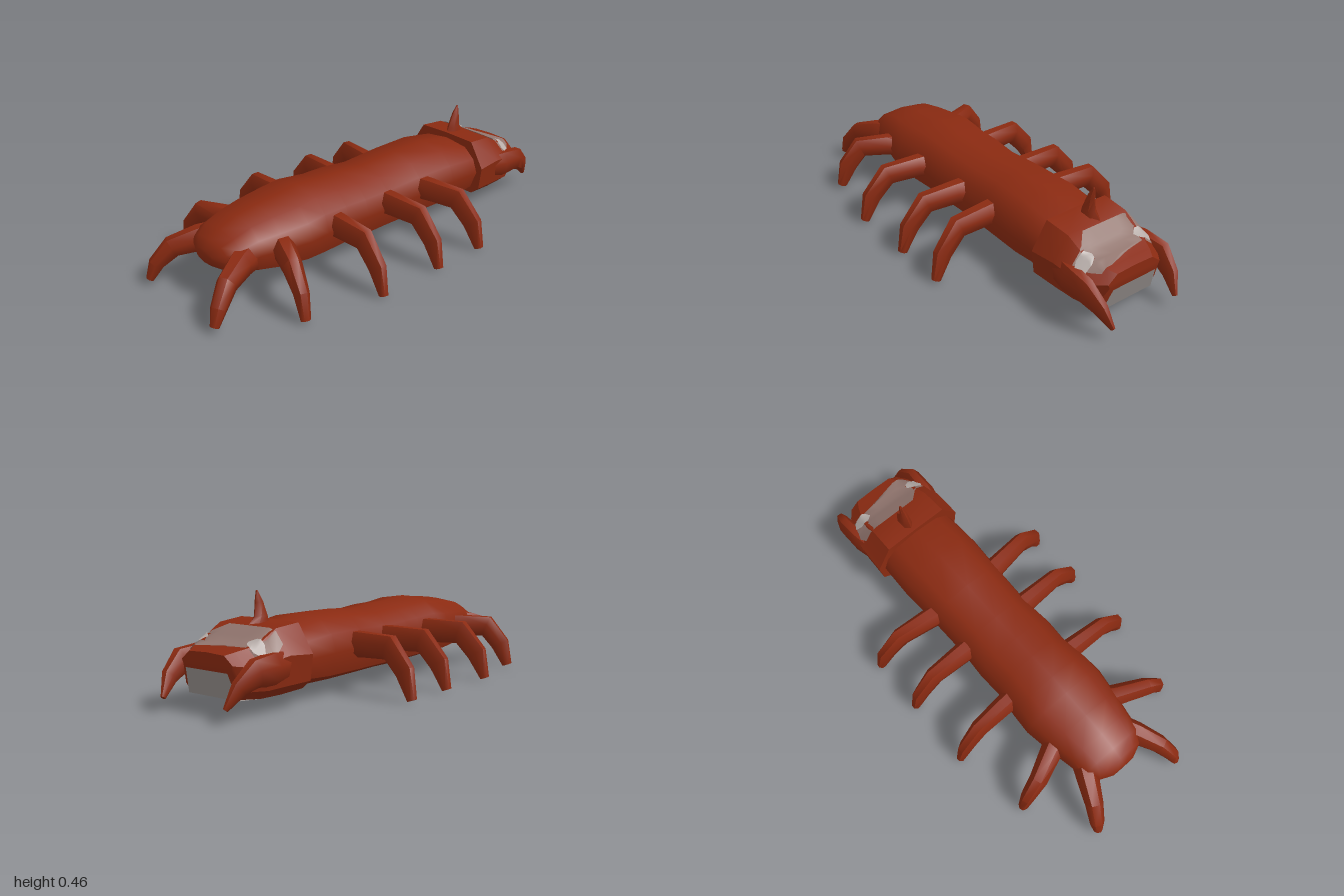
import * as THREE from 'three';
import { toCreasedNormals } from 'three/addons/utils/BufferGeometryUtils.js';

const mat = (name, color, side = THREE.FrontSide) => {
  const m = new THREE.MeshStandardMaterial({ color, side });
  m.name = name;
  return m;
};

// Skin a list of equal-length rings and cap both ends
function loft(rings, crease = 0.7) {
  const n = rings[0].length, pos = [], idx = [];
  rings.forEach(r => r.forEach(p => pos.push(p[0], p[1], p[2])));
  for (let k = 0; k < rings.length - 1; k++) {
    for (let i = 0; i < n; i++) {
      const a = k * n + i, b = k * n + (i + 1) % n;
      idx.push(a, b, b + n, a, b + n, a + n);
    }
  }
  const last = (rings.length - 1) * n;
  for (let i = 1; i < n - 1; i++) idx.push(0, i + 1, i, last, last + i, last + i + 1);
  const g = new THREE.BufferGeometry();
  g.setAttribute('position', new THREE.Float32BufferAttribute(pos, 3));
  g.setIndex(idx);
  return toCreasedNormals(g, crease);
}

// Tapering limb through [x, y, z, half width, half height]; side is its width axis
function limb(points, side, sides = 7) {
  const c = points.map(p => new THREE.Vector3(p[0], p[1], p[2]));
  const rings = points.map((p, k) => {
    const t = c[Math.min(k + 1, c.length - 1)].clone().sub(c[Math.max(k - 1, 0)]).normalize();
    const v = t.clone().cross(side).normalize();
    const u = v.clone().cross(t).normalize();
    return Array.from({ length: sides }, (_, i) => {
      const a = (i / sides) * Math.PI * 2 + Math.PI / 2;
      return c[k].clone().addScaledVector(u, Math.cos(a) * p[3])
        .addScaledVector(v, Math.sin(a) * p[4]).toArray();
    });
  });
  return loft(rings, 0.95);
}

// Side axis at right angles to the limb's horizontal direction
function sideOf(points) {
  const a = points[0], b = points[points.length - 1];
  return new THREE.Vector3(-(b[2] - a[2]), 0, b[0] - a[0]).normalize();
}

// Head sections: z, half width, top, shoulder drop, bottom
const HEAD = [
  [-0.92, 0.14, 0.245, 0.035, 0.185],
  [-0.885, 0.17, 0.255, 0.05, 0.075],
  [-0.8, 0.22, 0.275, 0.06, 0.07],
  [-0.7, 0.23, 0.33, 0.1, 0.07],
  [-0.575, 0.235, 0.34, 0.12, 0.075],
];

// Height of the head's top surface
function headTop(x, z) {
  let k = 0;
  while (k < HEAD.length - 2 && z > HEAD[k + 1][0]) k++;
  const A = HEAD[k], B = HEAD[k + 1], f = (z - A[0]) / (B[0] - A[0]);
  const [, w, t, d] = A.map((v, i) => v + (B[i] - v) * f);
  return t - d * Math.max(0, (Math.abs(x) - 0.68 * w) / (0.32 * w));
}

// Thin skin over the head from rows of [z, x start, x end]
function patch(rows, lift) {
  const cols = 8, pos = [], idx = [];
  rows.forEach(([z, x0, x1], k) => {
    for (let i = 0; i <= cols; i++) {
      const x = x0 + (x1 - x0) * i / cols;
      pos.push(x, headTop(x, z) + lift, z);
      if (k && i) {
        const b = k * (cols + 1) + i, a = b - cols - 1;
        idx.push(a - 1, a, b, a - 1, b, b - 1);
      }
    }
  });
  const g = new THREE.BufferGeometry();
  g.setAttribute('position', new THREE.Float32BufferAttribute(pos, 3));
  g.setIndex(idx);
  g.computeVertexNormals();
  return g;
}

export function createModel() {
  const group = new THREE.Group();
  const rust = mat('rustShell', 0x8a2a11);
  const grey = mat('faceGrey', 0x92766f, THREE.DoubleSide);
  const pale = mat('eyePale', 0xb8aeaa, THREE.DoubleSide);
  const jaw = mat('mouthGrey', 0x958f8c, THREE.DoubleSide);
  const add = (name, geometry, material) => {
    const m = new THREE.Mesh(geometry, material);
    m.name = name;
    group.add(m);
  };

  // Body: z, half width, top, bottom
  const body = [
    [-0.62, 0.2, 0.31, 0.06], [-0.54, 0.205, 0.325, 0.05], [-0.4, 0.21, 0.348, 0.035],
    [-0.2, 0.2, 0.348, 0.032], [0, 0.195, 0.336, 0.035], [0.14, 0.205, 0.347, 0.038],
    [0.25, 0.2, 0.35, 0.037], [0.38, 0.215, 0.362, 0.04], [0.47, 0.22, 0.35, 0.047],
    [0.6, 0.2, 0.338, 0.06], [0.7, 0.18, 0.322, 0.085], [0.78, 0.165, 0.29, 0.115],
    [0.83, 0.13, 0.26, 0.135], [0.86, 0.06, 0.225, 0.165],
  ];
  const half = [[1, 0.52], [0.88, 0.76], [0.6, 0.94]];
  add('body', loft(body.map(([z, w, t, b]) => {
    const at = (x, y) => [x * w, b + y * (t - b), z];
    return [...half.map(p => at(p[0], p[1])), at(0, 1),
      ...half.slice().reverse().map(p => at(-p[0], p[1])),
      at(-0.84, 0.2), at(0, 0), at(0.84, 0.2)];
  }), 0.8), rust);

  // Head
  add('head', loft(HEAD.map(([z, w, t, d, b]) => {
    const low = b + (t - d - b) * 0.25;
    return [[w, t - d, z], [0.68 * w, t, z], [0, t + 0.004, z], [-0.68 * w, t, z], [-w, t - d, z],
      [-0.94 * w, low, z], [-0.75 * w, b, z], [0.75 * w, b, z], [0.94 * w, low, z]];
  }), 0.5), rust);

  // Crown horn
  add('horn', limb([
    [-0.012, 0.31, -0.645, 0.03, 0.07], [-0.012, 0.36, -0.635, 0.024, 0.036],
    [-0.011, 0.42, -0.645, 0.016, 0.02], [-0.012, 0.465, -0.657, 0.004, 0.004],
  ], new THREE.Vector3(1, 0, 0), 6), rust);

  // Face plate and eyes
  add('facePlate', patch([
    [-0.88, 0.09, 0.14], [-0.85, -0.03, 0.165], [-0.835, -0.2, 0.175], [-0.8, -0.218, 0.218],
    [-0.775, -0.22, 0.215], [-0.76, -0.215, 0.14], [-0.71, -0.2, 0.09],
  ], 0.006), grey);
  [-0.15, 0.165].forEach(x => add('eye', patch([
    [-0.835, x - 0.015, x + 0.02], [-0.82, x - 0.04, x + 0.035],
    [-0.8, x - 0.045, x + 0.045], [-0.78, x - 0.02, x + 0.02],
  ], 0.01), pale));

  // Mouth plate on the underside of the front lip
  const mouth = new THREE.BufferGeometry();
  mouth.setAttribute('position', new THREE.Float32BufferAttribute([
    -0.135, 0.072, -0.892, 0.135, 0.072, -0.892, 0.115, 0.18, -0.924, -0.115, 0.18, -0.924,
    -0.145, 0.066, -0.8, 0.145, 0.066, -0.8], 3));
  mouth.setIndex([0, 3, 2, 0, 2, 1, 4, 0, 1, 4, 1, 5]);
  add('mouth', toCreasedNormals(mouth, 0.5), jaw);

  // Walking legs: root z, tip z
  const legs = [[-0.22, -0.265], [0, 0], [0.305, 0.33]].map(([a, b]) => [
    [0.12, 0.21, a, 0.055, 0.062], [0.22, 0.215, a + (b - a) * 0.25, 0.048, 0.058],
    [0.37, 0.218, a + (b - a) * 0.6, 0.04, 0.058],
    [0.455, 0.125, a + (b - a) * 0.85, 0.032, 0.05], [0.497, 0.013, b, 0.02, 0.022]]);
  legs.push([
    [0.1, 0.2, 0.56, 0.058, 0.062], [0.2, 0.205, 0.605, 0.05, 0.056],
    [0.32, 0.205, 0.66, 0.042, 0.055], [0.39, 0.12, 0.675, 0.033, 0.046],
    [0.425, 0.018, 0.685, 0.022, 0.024]]);
  // Forward legs
  legs.push([
    [0.1, 0.19, 0.7, 0.06, 0.075], [0.15, 0.19, 0.79, 0.052, 0.062],
    [0.2, 0.165, 0.89, 0.042, 0.05], [0.232, 0.095, 0.955, 0.034, 0.035],
    [0.242, 0.03, 0.985, 0.02, 0.018]]);
  // Curved jaws beside the mouth
  const pincer = [
    [0.18, 0.19, -0.66, 0.04, 0.06], [0.2, 0.185, -0.77, 0.045, 0.07],
    [0.208, 0.185, -0.87, 0.038, 0.06], [0.192, 0.135, -0.94, 0.027, 0.04],
    [0.172, 0.062, -0.992, 0.009, 0.012]];

  for (const s of [1, -1]) {
    const tag = s > 0 ? 'left' : 'right';
    const flip = pts => pts.map(([x, ...r]) => [x * s, ...r]);
    legs.forEach((pts, i) => {
      const p = flip(pts);
      add(`${tag}Leg${i + 1}`, limb(p, sideOf(p)), rust);
    });
    add(`${tag}Pincer`, limb(flip(pincer), new THREE.Vector3(1, 0, 0)), rust);
  }
  return group;
}
